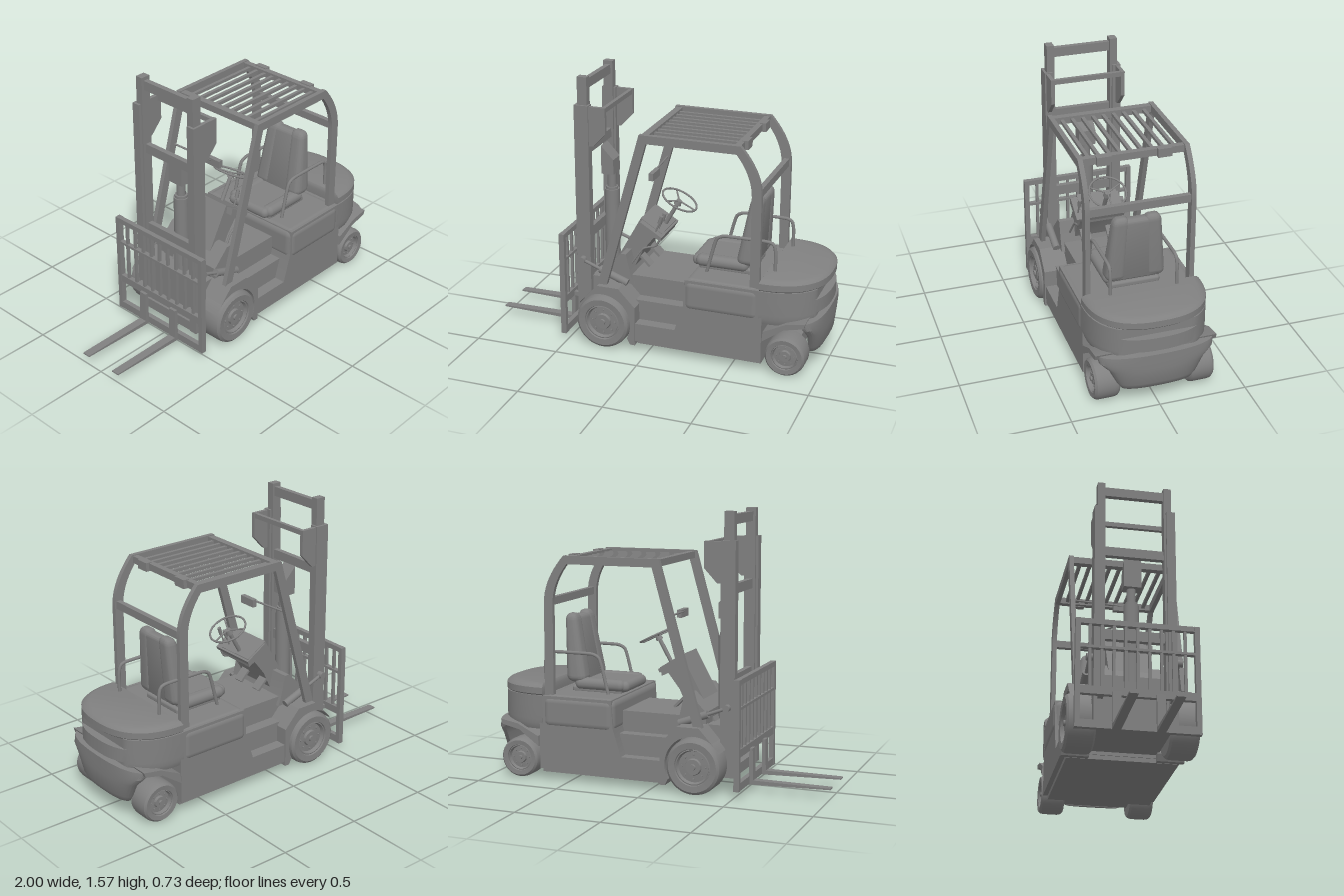
import * as THREE from 'three';
import { toCreasedNormals } from 'three/addons/utils/BufferGeometryUtils.js';
import { RoundedBoxGeometry } from 'three/addons/geometries/RoundedBoxGeometry.js';

const paint = new THREE.MeshStandardMaterial({ color: 0x808080, side: THREE.DoubleSide });
const V = (x, y, z) => new THREE.Vector3(x, y, z);

export function createModel() {
  const root = new THREE.Group();
  const add = (name, geo, parent = root) => {
    const m = new THREE.Mesh(geo, paint);
    m.name = name;
    parent.add(m);
    return m;
  };
  // box given by its extents on each axis
  const box = (name, x0, x1, y0, y1, z0, z1) => add(name,
    new THREE.BoxGeometry(x1 - x0, y1 - y0, z1 - z0).translate((x0 + x1) / 2, (y0 + y1) / 2, (z0 + z1) / 2));
  const softBox = (name, x0, x1, y0, y1, z0, z1, r) => add(name,
    new RoundedBoxGeometry(x1 - x0, y1 - y0, z1 - z0, 4, r).translate((x0 + x1) / 2, (y0 + y1) / 2, (z0 + z1) / 2));
  // side profile (points or shape) extruded from z0 to z1
  const slab = (name, profile, z0, z1) => {
    const shape = Array.isArray(profile) ? new THREE.Shape(profile.map(p => new THREE.Vector2(...p))) : profile;
    const g = new THREE.ExtrudeGeometry(shape, { depth: z1 - z0, bevelEnabled: false, curveSegments: 10 });
    return add(name, toCreasedNormals(g.translate(0, 0, z0), 0.5));
  };
  const rod = (name, a, b, r, sides = 16) => {
    const d = b.clone().sub(a);
    const m = add(name, new THREE.CylinderGeometry(r, r, d.length(), sides));
    m.position.copy(a).addScaledVector(d, 0.5);
    m.quaternion.setFromUnitVectors(V(0, 1, 0), d.normalize());
  };
  const tube = (name, pts, r) => add(name,
    new THREE.TubeGeometry(new THREE.CatmullRomCurve3(pts, false, 'catmullrom', 0.25), 40, r, 8));
  const both = fn => [1, -1].forEach(fn);
  const mirrored = (fn, z0, z1) => both(s => fn(s > 0 ? z0 : -z1, s > 0 ? z1 : -z0));

  // ---- chassis with stepped entry ----
  box('chassisSkirt', -0.065, 0.675, 0.045, 0.08, -0.31, 0.31);
  slab('chassis', [[-0.07, 0.07], [0.68, 0.07], [0.68, 0.5], [0.23, 0.5], [0.22, 0.34], [0.17, 0.18], [-0.07, 0.18]], -0.338, 0.338);
  box('lowerStep', -0.1, 0.24, 0.1, 0.3, -0.27, 0.27);
  box('floor', -0.14, 0.24, 0.1, 0.42, -0.2, 0.2);
  box('frontChassis', -0.39, -0.07, 0.09, 0.38, -0.2, 0.2);
  softBox('batteryHood', 0.215, 0.665, 0.31, 0.505, -0.345, 0.345, 0.045);

  // ---- front fenders: plate with a wheel-shaped cutout ----
  const fender = new THREE.Shape();
  fender.moveTo(-0.07, 0.045);
  fender.lineTo(-0.07, 0.28);
  fender.lineTo(-0.17, 0.385);
  fender.lineTo(-0.3, 0.385);
  fender.lineTo(-0.42, 0.25);
  fender.absarc(-0.27, 0.165, 0.172, Math.PI * 0.83, -0.5, true);
  fender.lineTo(-0.1, 0.045);
  mirrored((a, b) => slab('frontFender', fender, a, b), 0.19, 0.345);

  // ---- dashboard cowl with a lever console on one side ----
  slab('cowl', [[-0.32, 0.37], [-0.11, 0.75], [0.02, 0.67], [0.01, 0.62], [-0.03, 0.64], [-0.1, 0.55], [-0.16, 0.42], [-0.1, 0.37]], -0.11, 0.13);
  slab('dashPanel', [[-0.1, 0.74], [0.03, 0.66], [0.02, 0.64], [-0.11, 0.7]], -0.12, 0.17);
  slab('firewall', [[-0.3, 0.37], [-0.3, 0.45], [-0.27, 0.48], [-0.2, 0.55], [-0.17, 0.55], [-0.14, 0.42], [-0.12, 0.37]], -0.22, 0.22);
  tube('hose', [V(0.02, 0.66, 0.15), V(-0.01, 0.6, 0.15), V(-0.09, 0.57, 0.15), V(-0.16, 0.47, 0.16), V(-0.2, 0.4, 0.16)], 0.006);

  // ---- steering wheel, levers, pedals ----
  const steering = new THREE.Group();
  steering.name = 'steeringWheel';
  steering.position.set(0.08, 0.84, 0);
  steering.rotation.z = -0.46;
  root.add(steering);
  add('steeringRim', new THREE.TorusGeometry(0.108, 0.006, 8, 40).rotateX(Math.PI / 2), steering);
  add('steeringHub', new THREE.CylinderGeometry(0.016, 0.022, 0.03, 16).translate(0, -0.018, 0), steering);
  for (let i = 0; i < 3; i++) add('steeringSpoke', new THREE.CylinderGeometry(0.005, 0.005, 0.105, 8)
    .rotateZ(Math.PI / 2).translate(0.053, -0.006, 0).rotateY(i * Math.PI * 2 / 3), steering);
  rod('steeringColumn', V(0.07, 0.82, 0), V(-0.02, 0.66, 0), 0.012);
  [0.1, 0.15].forEach(z => {
    rod('lever', V(-0.02, 0.67, z), V(0.015, 0.75, z), 0.005, 8);
    rod('leverGrip', V(0.01, 0.74, z), V(0.025, 0.785, z), 0.011, 10);
  });
  [-0.08, 0.08].forEach(z => slab('pedal', [[-0.13, 0.5], [-0.12, 0.51], [-0.06, 0.45], [-0.07, 0.44]], z - 0.03, z + 0.03));

  // ---- overhead guard ----
  const guard = new THREE.Shape();
  guard.moveTo(-0.31, 0.38);
  guard.lineTo(-0.05, 1.31);
  guard.lineTo(0.53, 1.31);
  guard.bezierCurveTo(0.6, 1.23, 0.655, 1.14, 0.655, 1.03);
  guard.lineTo(0.655, 0.49);
  guard.lineTo(0.6, 0.49);
  guard.lineTo(0.6, 1.03);
  guard.bezierCurveTo(0.6, 1.12, 0.56, 1.2, 0.51, 1.262);
  guard.lineTo(-0.01, 1.262);
  guard.lineTo(-0.255, 0.38);
  mirrored((a, b) => slab('guardFrame', guard, a, b), 0.285, 0.312);
  box('guardFrontBar', -0.045, -0.005, 1.265, 1.305, -0.29, 0.29);
  box('guardRearBar', 0.49, 0.525, 1.265, 1.305, -0.29, 0.29);
  box('guardBackBar', 0.615, 0.645, 1.02, 1.065, -0.29, 0.29);
  for (let i = 0; i < 9; i++) {
    const z = -0.24 + i * 0.06;
    box('roofSlat', -0.02, 0.5, 1.275, 1.293, z - 0.01, z + 0.01);
  }
  mirrored((a, b) => box('rearLamp', 0.51, 0.545, 1.26, 1.31, a, b), 0.13, 0.21);
  rod('mirrorArm', V(-0.1, 0.99, -0.29), V(-0.085, 0.985, 0), 0.006, 8);
  box('mirror', -0.09, -0.062, 0.953, 0.998, -0.055, 0.055);

  // ---- seat ----
  softBox('seatBase', 0.25, 0.56, 0.495, 0.535, -0.15, 0.15, 0.015);
  softBox('seatCushion', 0.205, 0.54, 0.512, 0.575, -0.15, 0.15, 0.03);
  mirrored((a, b) => softBox('seatBolster', 0.23, 0.54, 0.515, 0.583, a, b, 0.033), 0.09, 0.17);
  // backrest pads lean back and narrow toward the top
  const pad = (name, thick, h, z0, z1, r) => {
    const g = new RoundedBoxGeometry(thick, h, z1 - z0, 5, r).translate(0, h / 2, (z0 + z1) / 2);
    const p = g.attributes.position;
    for (let i = 0; i < p.count; i++) {
      const t = p.getY(i) / 0.4;
      p.setX(i, p.getX(i) * (1.15 - 0.5 * t) + 0.53 + 0.047 * t);
      p.setZ(i, p.getZ(i) * (1 - 0.22 * t));
      p.setY(i, p.getY(i) + 0.555);
    }
    add(name, toCreasedNormals(g, 0.8));
  };
  pad('backrestPanel', 0.1, 0.385, -0.15, 0.15, 0.025);
  mirrored((a, b) => pad('backrestBolster', 0.11, 0.4, a, b, 0.04), 0.055, 0.174);
  both(s => tube('armrest', [V(0.31, 0.5, s * 0.19), V(0.35, 0.66, s * 0.19), V(0.37, 0.715, s * 0.19), V(0.42, 0.735, s * 0.19),
    V(0.66, 0.735, s * 0.19), V(0.7, 0.72, s * 0.19), V(0.71, 0.67, s * 0.19), V(0.71, 0.55, s * 0.19)], 0.01));

  // ---- counterweight: stacked D-shaped sections [y, frontX, rearX, halfWidth, flatRearX] ----
  const loft = (name, sections) => {
    const n = 40, pos = [], idx = [];
    sections.forEach(([y, xf, xr, hz, cut = 9]) => {
      for (let i = 0; i <= n; i++) {
        const a = Math.PI * (i / n - 0.5), c = Math.max(0, Math.cos(a)), s = Math.sin(a);
        pos.push(Math.min(cut, xf + (xr - xf) * c ** 0.8), y, hz * Math.sign(s) * Math.abs(s) ** 0.8);
      }
    });
    const w = n + 1, top = (sections.length - 1) * w;
    for (let j = 0; j < sections.length - 1; j++) for (let i = 0; i < w; i++) {
      const a = j * w + i, b = j * w + (i + 1) % w;
      idx.push(a, a + w, b, b, a + w, b + w);
    }
    for (let i = 1; i < n; i++) idx.push(0, i, i + 1, top, top + i + 1, top + i);
    const g = new THREE.BufferGeometry();
    g.setAttribute('position', new THREE.Float32BufferAttribute(pos, 3));
    g.setIndex(idx);
    add(name, toCreasedNormals(g, 0.6));
  };
  loft('counterweight', [[0.3, 0.67, 0.97, 0.325], [0.335, 0.66, 1, 0.338], [0.336, 0.66, 1, 0.338, 0.955], [0.36, 0.66, 1, 0.34, 0.955],
    [0.361, 0.66, 1, 0.34], [0.44, 0.66, 1, 0.34], [0.441, 0.66, 1, 0.34, 0.955], [0.5, 0.66, 1, 0.34, 0.955]]);
  loft('counterweightCap', [[0.495, 0.66, 0.985, 0.325], [0.508, 0.66, 1, 0.34], [0.545, 0.66, 1, 0.34], [0.56, 0.665, 0.985, 0.325], [0.568, 0.67, 0.96, 0.3]]);
  loft('counterweightTail', [[0.1, 0.93, 0.95, 0.16], [0.115, 0.925, 0.975, 0.2], [0.15, 0.925, 0.993, 0.225], [0.24, 0.925, 1, 0.27], [0.29, 0.915, 1, 0.32], [0.335, 0.88, 1, 0.335]]);
  const flare = [[0.685, 0.2], [0.72, 0.225], [0.81, 0.29], [0.92, 0.315], [0.93, 0.345], [0.82, 0.325], [0.69, 0.26]];
  mirrored((a, b) => slab('rearFender', flare, a, b), 0.2, 0.345);
  box('rearAxle', 0.775, 0.855, 0.08, 0.16, -0.22, 0.22);

  // ---- wheels: turned profile plus wheel bolts ----
  const wheel = (name, x, r, zIn, zOut, s) => {
    const g = new THREE.Group();
    g.name = name;
    g.position.set(x, r + 0.003, 0);
    if (s < 0) g.rotation.y = Math.PI;
    // the turned half is mirrored by the half turn, so keep x unchanged
    root.add(g);
    const o = zOut, k = [[0, zIn], [0.88, zIn], [0.97, zIn + 0.012], [1, zIn + 0.03], [1, o - 0.03], [0.97, o - 0.012], [0.88, o],
      [0.66, o - 0.003], [0.64, o - 0.012], [0.6, o - 0.01], [0.55, o - 0.03], [0.3, o - 0.028], [0.27, o - 0.014], [0, o - 0.014]];
    const lathe = new THREE.LatheGeometry(k.map(([f, z]) => new THREE.Vector2(f * r, z)), 40);
    add('tyreAndRim', toCreasedNormals(lathe.rotateX(Math.PI / 2), 0.5), g);
    for (let i = 0; i < 8; i++) add('wheelBolt', new THREE.CylinderGeometry(r * 0.04, r * 0.04, 0.016, 6)
      .rotateX(Math.PI / 2).translate(r * 0.43, 0, o - 0.028).rotateZ(i * Math.PI / 4), g);
    add('hubCap', new THREE.CylinderGeometry(r * 0.1, r * 0.12, 0.016, 16).rotateX(Math.PI / 2).translate(0, 0, o - 0.012), g);
  };
  both(s => {
    wheel('frontWheel', -0.268, 0.161, 0.2, 0.363, s);
    wheel('rearWheel', 0.815, 0.117, 0.2, 0.342, s);
  });

  // ---- mast: outer channels, inner rails, cross members ----
  mirrored((a, b) => {
    box('outerMastWeb', -0.47, -0.385, 0.09, 1.415, b > 0 ? b - 0.014 : a, b > 0 ? b : a + 0.014);
    box('outerMastFlange', -0.47, -0.455, 0.09, 1.415, a, b);
    box('outerMastFlange', -0.4, -0.385, 0.09, 1.415, a, b);
  }, 0.18, 0.23);
  mirrored((a, b) => box('innerMastRail', -0.455, -0.397, 0.1, 1.575, a, b), 0.168, 0.212);
  [[1.5, 1.555], [1.115, 1.17], [0.6, 0.66]].forEach(([a, b]) => box('innerMastBar', -0.44, -0.41, a, b, -0.17, 0.17));
  box('outerTopBar', -0.31, -0.288, 1.38, 1.408, -0.22, 0.22);
  box('outerBottomBar', -0.465, -0.38, 0.09, 0.15, -0.2, 0.2);
  mirrored((a, b) => slab('mastBracket', [[-0.39, 1.41], [-0.285, 1.41], [-0.285, 1.26], [-0.36, 1.18], [-0.39, 1.18]], a, b), 0.2, 0.222);
  slab('cylinderHead', [[-0.385, 1.13], [-0.31, 1.05], [-0.31, 0.96], [-0.385, 0.96]], -0.05, 0.05);
  rod('liftCylinder', V(-0.34, 0.12, 0), V(-0.34, 0.86, 0), 0.043, 24);
  rod('cylinderCollar', V(-0.34, 0.86, 0), V(-0.34, 0.875, 0), 0.036, 24);
  rod('liftRod', V(-0.34, 0.87, 0), V(-0.34, 0.98, 0), 0.026);
  both(s => {
    rod('tiltRod', V(-0.43, 0.49, s * 0.245), V(-0.3, 0.44, s * 0.245), 0.01, 10);
    rod('tiltCylinder', V(-0.32, 0.448, s * 0.245), V(-0.15, 0.385, s * 0.245), 0.022);
    rod('tiltPin', V(-0.43, 0.49, s * 0.2), V(-0.43, 0.49, s * 0.265), 0.02);
  });

  // ---- fork carriage and load backrest ----
  mirrored((a, b) => {
    box('backrestPost', -0.535, -0.503, 0.045, 0.67, a, b);
    box('carriageArm', -0.51, -0.44, 0.235, 0.26, a - Math.sign(a) * 0.13, b - Math.sign(b) * 0.13);
  }, 0.312, 0.34);
  [[0.64, 0.67], [0.5, 0.515], [0.235, 0.28], [0.045, 0.09]].forEach(([a, b]) => box('carriageBar', -0.533, -0.505, a, b, -0.32, 0.32));
  for (let i = 1; i < 10; i++) {
    const z = -0.325 + i * 0.065;
    box('backrestSlat', -0.528, -0.512, 0.25, 0.65, z - 0.008, z + 0.008);
  }
  const fork = [[-1, 0.054], [-1, 0.062], [-0.555, 0.066], [-0.55, 0.25], [-0.53, 0.25], [-0.53, 0.042], [-0.56, 0.042]];
  mirrored((a, b) => slab('fork', fork, a, b), 0.095, 0.143);

  return root;
}
